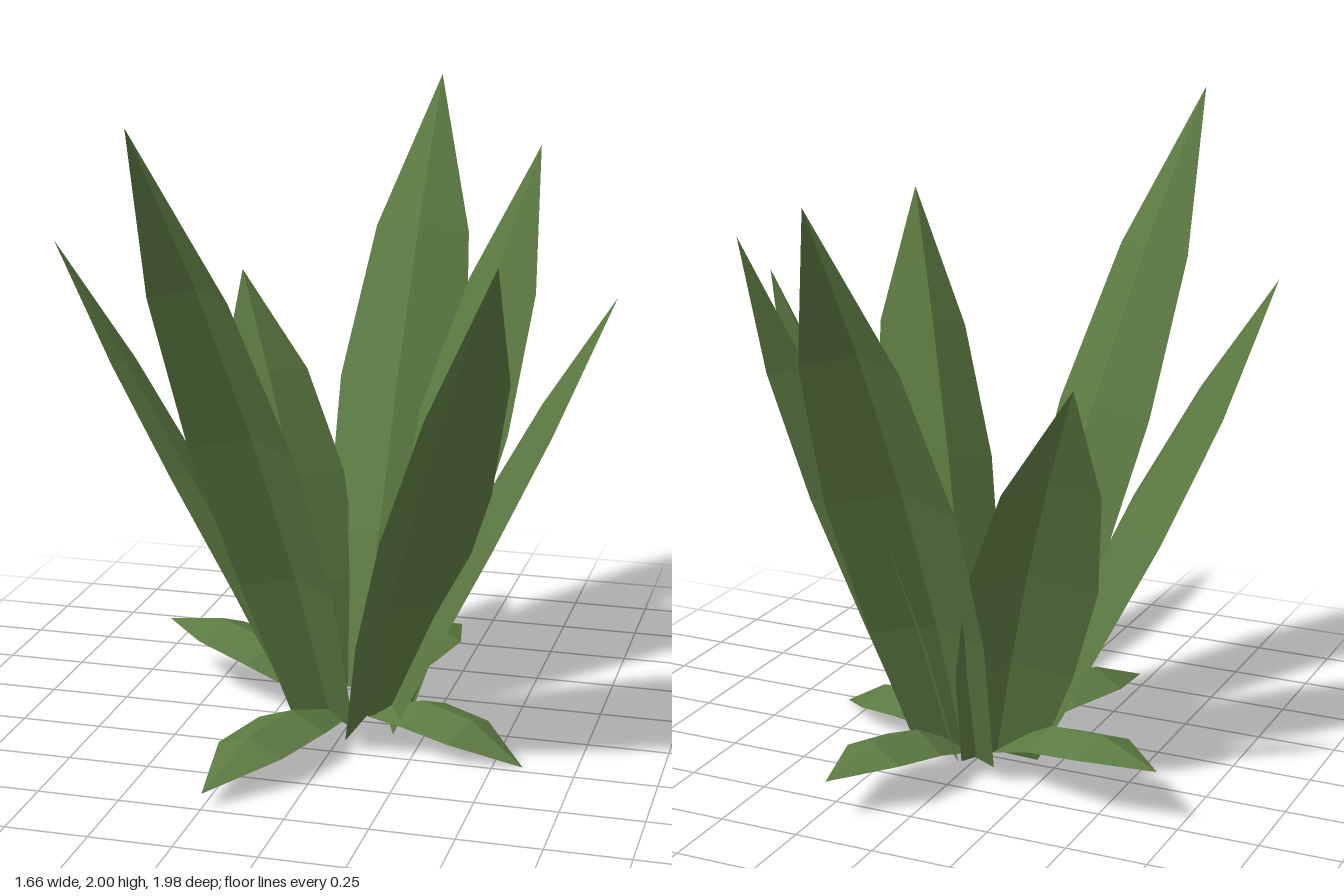
import * as THREE from 'three';

const RAD = Math.PI / 180;

// A leaf is a strip of cross-sections: edge, raised midrib, edge, closing to a point.
// spine(t) gives [radius, height] of the midrib; widths are half widths per row, the last one 0.
function leafGeometry(azimuth, roll, spine, widths) {
  const a = azimuth * RAD, r = roll * RAD, n = widths.length - 1;
  const point = (t) => {
    const [rad, y] = spine(t);
    return new THREE.Vector3(Math.cos(a) * rad, y, Math.sin(a) * rad);
  };
  const across = new THREE.Vector3(-Math.sin(a), 0, Math.cos(a));
  const positions = [], index = [];
  widths.forEach((w, i) => {
    const t = i / n;
    const mid = point(t);
    const tangent = point(t + 0.02).sub(point(t - 0.02)).normalize();
    const up = new THREE.Vector3().crossVectors(across, tangent).normalize();
    // Roll the section about the leaf's own axis
    const side = across.clone().multiplyScalar(Math.cos(r)).addScaledVector(up, Math.sin(r));
    const normal = up.clone().multiplyScalar(Math.cos(r)).addScaledVector(across, -Math.sin(r));
    for (const s of [-1, 0, 1]) {
      const p = mid.clone().addScaledVector(side, s * w);
      if (s !== 0) p.addScaledVector(normal, -0.4 * w);
      positions.push(p.x, p.y, p.z);
    }
  });
  for (let i = 0; i < n; i++) {
    for (let k = 0; k < 2; k++) {
      const p = i * 3 + k, q = p + 3;
      if (i === n - 1) {
        index.push(p, p + 1, n * 3 + 1); // pointed end
      } else {
        index.push(p, p + 1, q + 1, p, q + 1, q);
      }
    }
  }
  const g = new THREE.BufferGeometry();
  g.setAttribute('position', new THREE.Float32BufferAttribute(positions, 3));
  g.setIndex(index);
  const flat = g.toNonIndexed();
  flat.computeVertexNormals();
  return flat;
}

export function createModel() {
  const plant = new THREE.Group();
  plant.name = 'plant';
  const leafGreen = new THREE.MeshStandardMaterial({
    color: 0x5c7a42, flatShading: true, side: THREE.DoubleSide,
  });
  leafGreen.name = 'leafGreen';

  const add = (name, geometry) => {
    const mesh = new THREE.Mesh(geometry, leafGreen);
    mesh.name = name;
    plant.add(mesh);
  };

  // Tall upright leaves: tip x, y, z, half width, roll in degrees
  const tall = [
    [-0.34, 2.0, 0.99, 0.175, -6],
    [0.6, 1.64, 0.77, 0.215, -18],
    [0.83, 1.45, 0.19, 0.21, -17],
    [0.45, 1.74, -0.65, 0.185, -7],
    [0.05, 1.91, -0.99, 0.21, -3],
    [-0.47, 1.34, -0.41, 0.2, 14],
    [-0.83, 1.55, 0.29, 0.18, -17],
  ];
  tall.forEach(([x, y, z, w, roll], i) => {
    const reach = Math.hypot(x, z);
    const spine = (t) => [
      0.12 + (reach - 0.12) * (0.7 * t + 0.3 * t * t),
      0.06 + (y - 0.06) * (1.03 * t - 0.03 * t * t),
    ];
    const widths = [0.6, 0.9, 1, 0.74, 0].map((k) => k * w);
    add(`tallLeaf${i + 1}`, leafGeometry(Math.atan2(z, x) / RAD, roll, spine, widths));
  });

  // Short leaves arching over the ground: tip x, y, z
  const low = [
    [0.59, 0.0, 0.22],
    [-0.25, 0.045, 0.74],
    [-0.69, 0.18, -0.27],
    [0.22, 0.12, -0.62],
  ];
  low.forEach(([x, y, z], i) => {
    const reach = Math.hypot(x, z);
    const spine = (t) => [
      0.09 + (reach - 0.09) * t,
      0.07 + (y - 0.07) * t + 0.38 * t * (1 - t),
    ];
    add(`groundLeaf${i + 1}`, leafGeometry(Math.atan2(z, x) / RAD, 0, spine, [0.05, 0.12, 0.115, 0]));
  });

  return plant;
}
